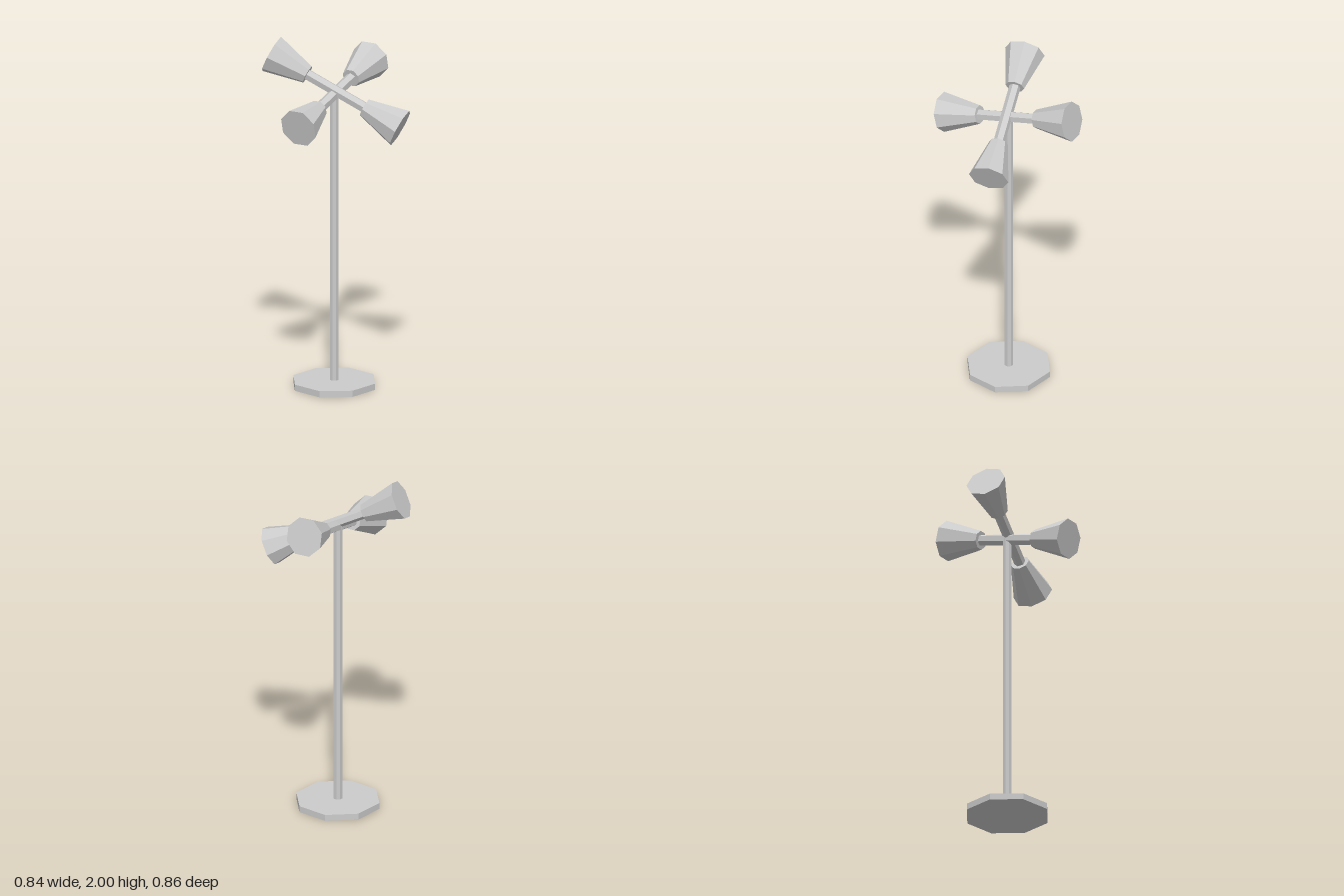
import * as THREE from 'three';

const material = new THREE.MeshStandardMaterial({ color: 0xcccccc, flatShading: true });

// Cylinder or cone along y; turn rotates its corners about the axis
function post(name, rTop, rBottom, length, y, sides, turn = 0) {
  const geometry = new THREE.CylinderGeometry(rTop, rBottom, length, sides, 1, false, THREE.MathUtils.degToRad(turn));
  const mesh = new THREE.Mesh(geometry, material);
  mesh.name = name;
  mesh.position.y = y;
  return mesh;
}

// Tilted crossbar with a flared lamp at each end, built along its local y
function lampArm(name, centre, direction, barTurn, lampTurn) {
  const near = 0.185, far = 0.416, length = far - near;
  const arm = new THREE.Group();
  arm.name = name;
  arm.add(post('crossbar', 0.032, 0.032, near * 2 + 0.04, 0, 6, barTurn));
  arm.add(post('lampHead', 0.113, 0.053, length, (near + far) / 2, 8, lampTurn));
  arm.add(post('lampHead', 0.053, 0.113, length, -(near + far) / 2, 8, lampTurn));

  // Local y follows the arm, local z is the steepest direction across it
  const yAxis = new THREE.Vector3(...direction).normalize();
  const up = new THREE.Vector3(0, 1, 0);
  const zAxis = up.addScaledVector(yAxis, -yAxis.y).normalize();
  const xAxis = new THREE.Vector3().crossVectors(yAxis, zAxis);
  arm.quaternion.setFromRotationMatrix(new THREE.Matrix4().makeBasis(xAxis, yAxis, zAxis));
  arm.position.set(...centre);
  return arm;
}

export function createModel() {
  const model = new THREE.Group();
  model.name = 'floorLamp';

  // Octagonal foot and slim pole
  const stand = new THREE.Group();
  stand.name = 'stand';
  stand.position.set(-0.013, 0, -0.003);
  stand.add(post('base', 0.242, 0.242, 0.036, 0.018, 8));
  stand.add(post('pole', 0.026, 0.026, 1.68, 0.87, 8));
  model.add(stand);

  // Two crossing arms, four lamp heads
  model.add(lampArm('sideArm', [0, 1.717, 0.004], [0.743, -0.363, -0.035], 13, -6));
  model.add(lampArm('frontBackArm', [-0.009, 1.7, 0], [0.144, 0.197, -0.81], 0, 22));
  return model;
}
